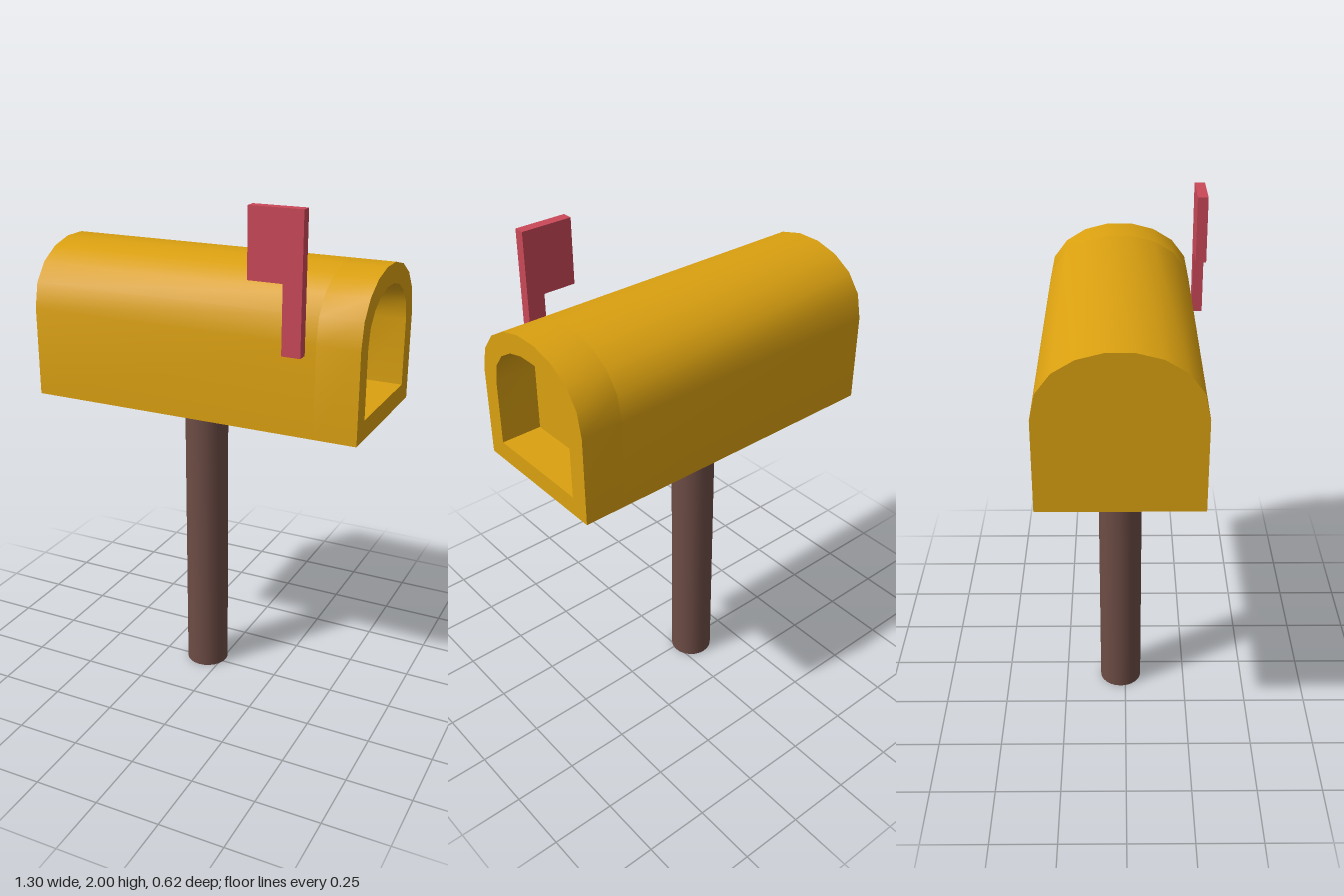
import * as THREE from 'three';
import { mergeGeometries, toCreasedNormals } from 'three/addons/utils/BufferGeometryUtils.js';

const CZ = -0.02;   // centre line of box and post
const MID = 1.49;   // mid height of the box

// Arched outline, scaled about the middle of the box
function arch(path, s) {
  const w = 0.29 * s, bottom = -0.29 * s, spring = 0.053 * s, ctrl = 0.369 * s;
  path.moveTo(-w, bottom);
  path.lineTo(w, bottom);
  path.lineTo(w, spring);
  path.bezierCurveTo(w, ctrl, -w, ctrl, -w, spring);
  path.closePath();
  return path;
}

// Extrude an outline along x, from x0 to x1
function extrudeX(shape, x0, x1) {
  const g = new THREE.ExtrudeGeometry(shape, { depth: x1 - x0, bevelEnabled: false, curveSegments: 9 });
  return g.rotateY(Math.PI / 2).translate(x0, MID, CZ);
}

export function createModel() {
  const model = new THREE.Group();
  model.name = 'mailbox';
  const add = (name, geometry, color) => {
    const mesh = new THREE.Mesh(geometry, new THREE.MeshStandardMaterial({ color }));
    mesh.name = name;
    model.add(mesh);
    return mesh;
  };

  // Box: solid body plus a rim that forms the recessed opening at the +x end
  const recess = 0.49;
  const rim = arch(new THREE.Shape(), 1);
  rim.holes.push(arch(new THREE.Path(), 0.745));
  const body = mergeGeometries([
    extrudeX(arch(new THREE.Shape(), 1), -0.65, recess),
    extrudeX(rim, recess, 0.65),
  ]);
  add('box', toCreasedNormals(body, 0.6), 0xdaa010);

  // Post
  add('post', new THREE.CylinderGeometry(0.085, 0.085, 1.2, 24), 0x6d4c45).position.set(-0.07, 0.6, CZ);

  // Flag: panel and stem in one outline, against the front wall
  const flag = new THREE.Shape([
    [0.38, 1.5], [0.45, 1.5], [0.45, 2], [0.25, 2], [0.25, 1.75], [0.38, 1.75],
  ].map(([x, y]) => new THREE.Vector2(x, y)));
  add('flag', new THREE.ExtrudeGeometry(flag, { depth: 0.04, bevelEnabled: false }), 0xc94858).position.z = 0.27;

  return model;
}
